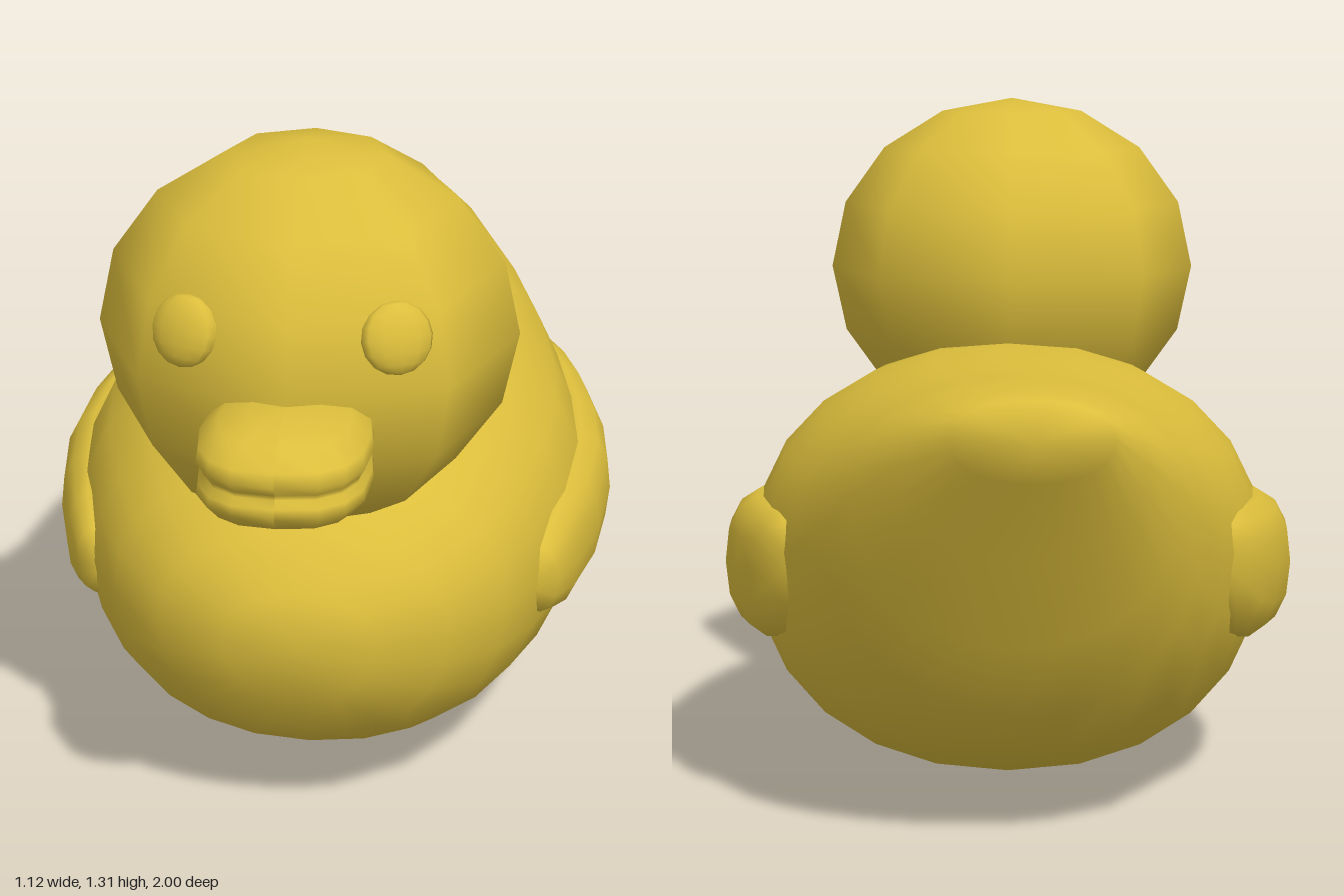
import * as THREE from 'three';

const material = new THREE.MeshStandardMaterial({ color: 0xdcbe3c, roughness: 0.6 });

function mesh(name, geometry) {
  const m = new THREE.Mesh(geometry, material);
  m.name = name;
  return m;
}

const spow = (v, p) => Math.sign(v) * Math.pow(Math.abs(v), p);

// Closed skin through rounded rings along z, front to back.
// Ring: [z, centreX, halfWidth, bottomY, widestY, topY]; tips are [x, y, z].
function loft(rings, frontTip, backTip, sides, power) {
  const pos = [];
  const index = [];
  for (const [z, cx, w, b, m, t] of rings) {
    for (let j = 0; j < sides; j++) {
      const a = (j / sides) * Math.PI * 2;
      const s = spow(Math.sin(a), power);
      pos.push(cx + w * spow(Math.cos(a), power), m + s * (s > 0 ? t - m : m - b), z);
    }
  }
  const last = (rings.length - 1) * sides;
  const front = rings.length * sides;
  pos.push(...frontTip, ...backTip);
  for (let j = 0; j < sides; j++) {
    const k = (j + 1) % sides;
    index.push(front, j, k, front + 1, last + k, last + j);
    for (let i = 0; i < last; i += sides) {
      index.push(i + j, i + sides + j, i + k, i + k, i + sides + j, i + sides + k);
    }
  }
  const g = new THREE.BufferGeometry();
  g.setAttribute('position', new THREE.Float32BufferAttribute(pos, 3));
  g.setIndex(index);
  g.computeVertexNormals();
  return g;
}

export function createModel() {
  const duck = new THREE.Group();
  duck.name = 'duck';

  // Boat-shaped body sweeping up to a blunt tail
  duck.add(mesh('body', loft([
    [0.68, 0, 0.14, 0.31, 0.43, 0.53],
    [0.61, 0, 0.27, 0.2, 0.43, 0.62],
    [0.5, 0, 0.37, 0.125, 0.43, 0.71],
    [0.38, 0, 0.43, 0.07, 0.43, 0.77],
    [0.2, 0, 0.485, 0.02, 0.43, 0.82],
    [0, 0, 0.51, 0, 0.43, 0.835],
    [-0.2, 0, 0.495, 0.015, 0.44, 0.835],
    [-0.4, 0, 0.455, 0.07, 0.47, 0.838],
    [-0.58, -0.005, 0.395, 0.145, 0.53, 0.848],
    [-0.7, -0.015, 0.335, 0.25, 0.6, 0.858],
    [-0.78, -0.02, 0.29, 0.39, 0.66, 0.86],
    [-0.87, -0.03, 0.215, 0.56, 0.73, 0.858],
    [-0.95, -0.045, 0.14, 0.71, 0.785, 0.852],
  ], [0, 0.43, 0.7], [-0.05, 0.79, -1], 24, 0.93)));

  // Wings bulging from the flanks
  const wingRings = [
    [0.36, 0.42, 0.045, 0.35, 0.42, 0.49],
    [0.28, 0.44, 0.06, 0.32, 0.42, 0.53],
    [0.12, 0.46, 0.08, 0.305, 0.42, 0.545],
    [-0.05, 0.475, 0.085, 0.3, 0.43, 0.555],
    [-0.2, 0.465, 0.085, 0.3, 0.435, 0.565],
    [-0.35, 0.435, 0.08, 0.315, 0.45, 0.575],
    [-0.45, 0.405, 0.075, 0.345, 0.47, 0.58],
    [-0.52, 0.385, 0.055, 0.41, 0.5, 0.575],
  ];
  for (const side of [1, -1]) {
    const rings = wingRings.map(([z, x, ...rest]) => [z, x * side, ...rest]);
    duck.add(mesh(side > 0 ? 'leftWing' : 'rightWing',
      loft(rings, [0.41 * side, 0.42, 0.4], [0.375 * side, 0.51, -0.545], 14, 0.85)));
  }

  // Head: low-sided ball with smooth shading
  const head = mesh('head', new THREE.SphereGeometry(1, 8, 8));
  head.scale.set(0.385, 0.358, 0.383);
  head.position.set(-0.005, 0.956, 0.438);
  duck.add(head);

  // Eyes: flattened beads turned outwards and up
  for (const side of [1, -1]) {
    const eye = mesh(side > 0 ? 'leftEye' : 'rightEye', new THREE.SphereGeometry(1, 12, 8));
    eye.scale.set(0.066, 0.064, 0.027);
    eye.position.set(0.183 * side - 0.005, 1.06, 0.737);
    eye.lookAt(eye.position.clone().add(new THREE.Vector3(0.42 * side, 0.28, 0.86)));
    duck.add(eye);
  }

  // Beak: two stacked lips with a groove between, squared in plan
  const profile = [
    [0, 0.78], [0.55, 0.787], [0.86, 0.805], [1, 0.832], [0.98, 0.85], [0.92, 0.863],
    [0.93, 0.872], [1, 0.89], [0.97, 0.915], [0.75, 0.943], [0.4, 0.957], [0, 0.96],
  ].map(([r, y]) => new THREE.Vector2(r, y));
  const beak = new THREE.LatheGeometry(profile, 16);
  const p = beak.attributes.position;
  for (let i = 0; i < p.count; i++) {
    const r = Math.hypot(p.getX(i), p.getZ(i)) || 1;
    p.setX(i, 0.152 * r * spow(p.getX(i) / r, 0.75) - 0.005);
    p.setZ(i, 0.18 * r * spow(p.getZ(i) / r, 0.75) + 0.82);
  }
  beak.computeVertexNormals();
  duck.add(mesh('beak', beak));

  return duck;
}
